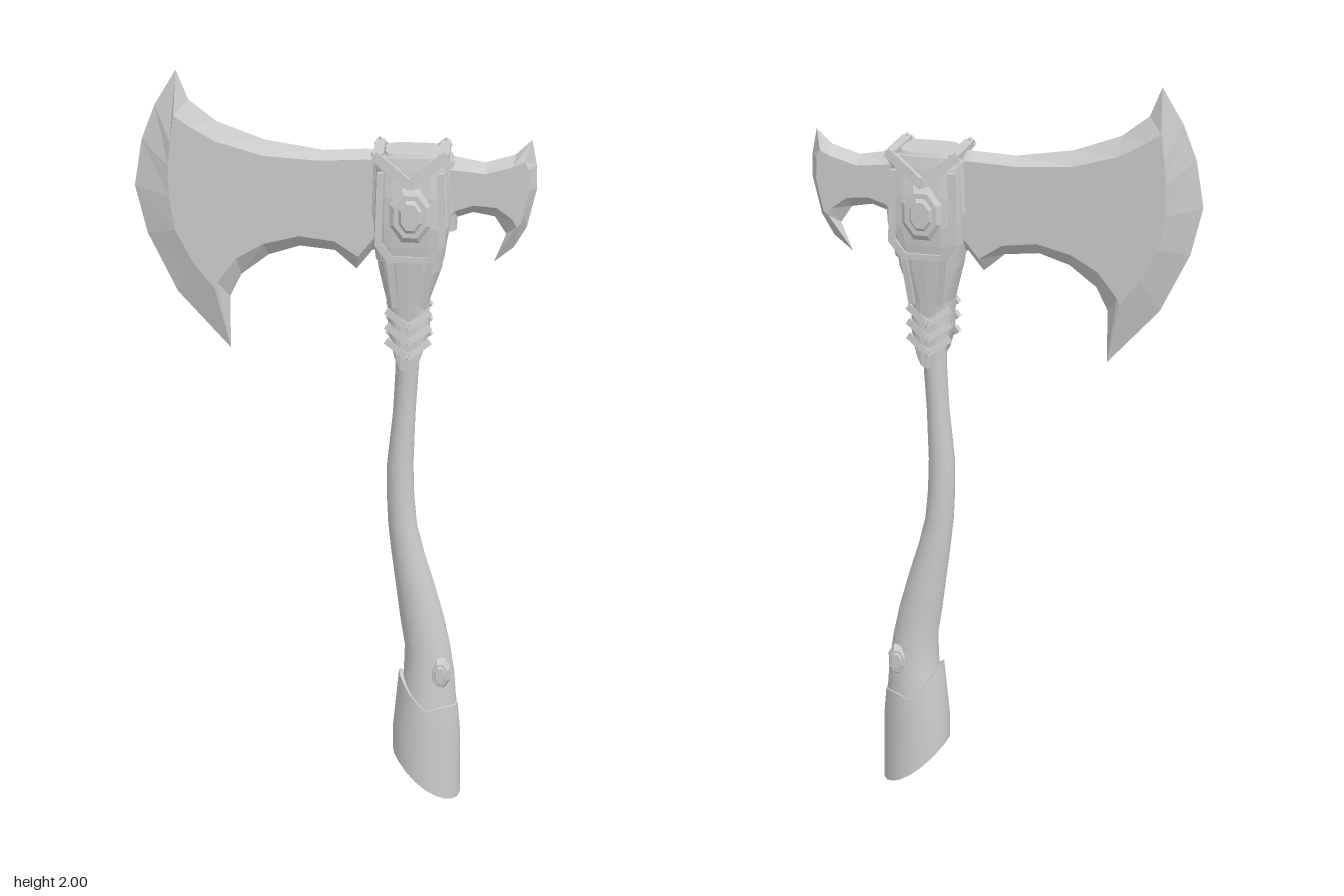
import * as THREE from 'three';

const V = (x, y, z) => new THREE.Vector3(x, y, z);
const smooth = new THREE.MeshStandardMaterial({ color: 0xcccccc });
const flat = new THREE.MeshStandardMaterial({ color: 0xcccccc, flatShading: true });

function add(group, name, geometry, material = flat) {
  const mesh = new THREE.Mesh(geometry, material);
  mesh.name = name;
  group.add(mesh);
  return mesh;
}

function build(pos, idx) {
  const g = new THREE.BufferGeometry();
  g.setAttribute('position', new THREE.Float32BufferAttribute(pos, 3));
  g.setIndex(idx);
  g.computeVertexNormals();
  return g;
}

// Skin of rings [y or y(angle), xMin, xMax, halfDepth], listed bottom to top, with both ends capped.
// power 1 gives ellipses, smaller values give rounded rectangles.
function loft(rings, n, power = 1) {
  const pos = [], idx = [];
  const pw = v => Math.sign(v) * Math.abs(v) ** power;
  const ring = ([y, x0, x1, hz]) => {
    for (let i = 0; i < n; i++) {
      const a = (i / n) * Math.PI * 2;
      pos.push((x0 + x1) / 2 + (x1 - x0) / 2 * pw(Math.cos(a)),
        typeof y === 'function' ? y(a) : y, hz * pw(Math.sin(a)));
    }
  };
  rings.forEach(ring);
  for (let r = 0; r < rings.length - 1; r++) {
    for (let i = 0; i < n; i++) {
      const a = r * n + i, b = r * n + (i + 1) % n;
      idx.push(a, a + n, b, b, a + n, b + n);
    }
  }
  // separate cap vertices keep the rims sharp
  [rings[0], rings[rings.length - 1]].forEach((r, top) => {
    const s = pos.length / 3;
    ring(r);
    const c = V(0, 0, 0);
    for (let i = s; i < s + n; i++) c.add(V(pos[i * 3], pos[i * 3 + 1], pos[i * 3 + 2]));
    c.divideScalar(n);
    pos.push(c.x, c.y, c.z);
    for (let i = 0; i < n; i++) {
      const a = s + i, b = s + (i + 1) % n;
      idx.push(...(top ? [s + n, b, a] : [s + n, a, b]));
    }
  });
  return build(pos, idx);
}

// Plate with a sharp rim at z = 0; points are [rimX, rimY, faceX, faceY], counter-clockwise.
function bevelPlate(points, half) {
  const n = points.length, pos = [], idx = [];
  points.forEach(p => pos.push(p[0], p[1], 0));
  [half, -half].forEach(z => points.forEach(p => pos.push(p[2], p[3], z)));
  for (let i = 0; i < n; i++) {
    const j = (i + 1) % n;
    idx.push(i, j, n + j, i, n + j, n + i);
    idx.push(i, 2 * n + j, j, i, 2 * n + i, 2 * n + j);
  }
  const face = points.map(p => new THREE.Vector2(p[2], p[3]));
  THREE.ShapeUtils.triangulateShape(face, []).forEach(([a, b, c]) =>
    idx.push(n + a, n + b, n + c, 2 * n + a, 2 * n + c, 2 * n + b));
  return build(pos, idx);
}

// Flat strip from a to b whose broad side looks along out
function strip(group, name, a, b, width, thick, out) {
  const y = b.clone().sub(a), len = y.length();
  y.normalize();
  const x = y.clone().cross(out).normalize();
  const m = new THREE.Matrix4().makeBasis(x, y, x.clone().cross(y));
  m.setPosition(a.clone().add(b).multiplyScalar(0.5));
  add(group, name, new THREE.BoxGeometry(width, len + width * 0.4, thick).applyMatrix4(m));
}

// Faceted oval stud facing along sign * z
function stud(group, name, x, y, z, hx, hy, depth, sign) {
  const g = new THREE.CylinderGeometry(0.7, 1, 1, 8).rotateY(Math.PI / 8);
  g.rotateX(Math.PI / 2).scale(hx, hy, depth);
  if (sign < 0) g.rotateY(Math.PI);
  add(group, name, g).position.set(x, y, z * sign);
}

export function createModel() {
  const axe = new THREE.Group();
  axe.name = 'axe';

  // Curved handle with a slanted foot
  const foot = a => 0.065 - 0.065 * Math.cos(a) - 0.02 * Math.sin(a) ** 2;
  add(axe, 'handle', loft([
    [foot, 0.16, 0.34, 0.082], [0.2, 0.162, 0.335, 0.08], [0.28, 0.172, 0.328, 0.074],
    [0.36, 0.186, 0.322, 0.064], [0.44, 0.188, 0.31, 0.056], [0.52, 0.175, 0.293, 0.051],
    [0.62, 0.162, 0.265, 0.046], [0.71, 0.15, 0.237, 0.041], [0.79, 0.141, 0.217, 0.038],
    [0.87, 0.137, 0.209, 0.036], [0.96, 0.137, 0.206, 0.034], [1.1, 0.151, 0.21, 0.032],
    [1.22, 0.157, 0.217, 0.035], [1.35, 0.157, 0.225, 0.042],
  ], 20), smooth);

  // Foot sleeve, its upper edge dipping to a point at front and back
  const dip = a => 0.275 + 0.045 * (1 - Math.cos(a)) * Math.abs(Math.cos(a));
  add(axe, 'footSleeve', loft([
    [a => foot(a) + 0.003, 0.158, 0.342, 0.084], [0.2, 0.158, 0.339, 0.083],
    [dip, 0.173, 0.332, 0.076],
  ], 20), smooth);

  // Bearded main blade
  add(axe, 'mainBlade', bevelPlate([
    [-0.4, 2, -0.405, 1.89], [-0.455, 1.91, -0.415, 1.82], [-0.49, 1.82, -0.42, 1.76],
    [-0.51, 1.7, -0.42, 1.68], [-0.48, 1.575, -0.405, 1.59], [-0.405, 1.42, -0.36, 1.505],
    [-0.27, 1.27, -0.307, 1.44], [-0.27, 1.41, -0.3, 1.455], [-0.24, 1.47, -0.25, 1.52],
    [-0.17, 1.523, -0.18, 1.56], [-0.09, 1.548, -0.09, 1.582], [0, 1.538, 0, 1.57],
    [0.055, 1.49, 0.06, 1.53], [0.095, 1.54, 0.1, 1.58], [0.2, 1.56, 0.2, 1.6],
    [0.2, 1.8, 0.2, 1.78], [0.08, 1.805, 0.08, 1.785], [-0.03, 1.8, -0.04, 1.78],
    [-0.18, 1.825, -0.18, 1.79], [-0.3, 1.87, -0.3, 1.825], [-0.37, 1.925, -0.37, 1.865],
  ], 0.032));

  // Small rear blade
  add(axe, 'rearBlade', bevelPlate([
    [0.2, 1.6, 0.2, 1.63], [0.29, 1.595, 0.285, 1.63], [0.305, 1.63, 0.305, 1.655],
    [0.35, 1.645, 0.35, 1.67], [0.405, 1.635, 0.41, 1.665], [0.435, 1.59, 0.45, 1.635],
    [0.405, 1.515, 0.46, 1.615], [0.455, 1.555, 0.472, 1.625], [0.487, 1.61, 0.478, 1.65],
    [0.51, 1.71, 0.49, 1.71], [0.508, 1.77, 0.488, 1.765], [0.495, 1.835, 0.478, 1.785],
    [0.455, 1.797, 0.45, 1.772], [0.38, 1.775, 0.38, 1.752], [0.29, 1.792, 0.29, 1.762],
    [0.2, 1.79, 0.2, 1.76],
  ], 0.03));

  // Head block holding both blades, and the raised top plate
  add(axe, 'headBlock', loft([
    [1.53, 0.105, 0.28, 0.077], [1.57, 0.1, 0.286, 0.083], [1.62, 0.1, 0.295, 0.087],
    [1.7, 0.102, 0.292, 0.086], [1.77, 0.105, 0.285, 0.078], [1.8, 0.112, 0.28, 0.072],
  ], 24, 0.5));
  add(axe, 'topPlate', loft([
    [1.79, 0.12, 0.272, 0.068], [1.808, 0.128, 0.264, 0.06],
  ], 24, 0.5));
  // Cheeks blending the block into the blades
  add(axe, 'bladeCollar', loft([
    [1.6, 0.08, 0.31, 0.042], [1.65, 0.075, 0.312, 0.048], [1.78, 0.08, 0.305, 0.048],
    [1.8, 0.09, 0.295, 0.042],
  ], 16, 0.75));

  // Tapered socket with tongues at front and back
  const tongue = a => 1.31 - 0.08 * Math.abs(Math.sin(a)) ** 3;
  add(axe, 'socket', loft([
    [tongue, 0.142, 0.238, 0.06], [1.33, 0.137, 0.245, 0.06], [1.37, 0.136, 0.244, 0.058],
    [1.41, 0.134, 0.242, 0.062], [1.5, 0.112, 0.274, 0.073], [1.55, 0.105, 0.28, 0.079],
  ], 24, 0.7));

  for (const s of [1, -1]) {
    const p = (x, y, z) => V(x, y, z * s);
    const out = V(0, 0, s);

    // Studded ornament in the middle of the head
    stud(axe, 'ornamentFrame', 0.195, 1.655, 0.086, 0.064, 0.084, 0.016, s);
    stud(axe, 'ornamentGem', 0.195, 1.655, 0.095, 0.036, 0.052, 0.014, s);

    // Ornament near the foot
    stud(axe, 'handleStud', 0.285, 0.38, 0.056, 0.03, 0.048, 0.018, s);
    stud(axe, 'handleStudGem', 0.285, 0.38, 0.064, 0.019, 0.034, 0.012, s);

    for (const m of [1, -1]) {
      const x = d => 0.194 + d * m;
      // Crossing straps, side frames, socket ribs and wrapped chevrons
      strip(axe, 'headStrap', p(x(0), 1.735, 0.088), p(x(0.088), 1.805, 0.074), 0.024, 0.016, out);
      strip(axe, 'headFrame', p(x(0.08), 1.58, 0.08), p(x(0.075), 1.76, 0.076), 0.018, 0.016, out);
      strip(axe, 'headFrameCorner', p(x(0.08), 1.58, 0.08), p(x(0.05), 1.54, 0.078), 0.018, 0.016, out);
      strip(axe, 'socketRib', p(x(0.052), 1.54, 0.077), p(x(0.036), 1.41, 0.06), 0.016, 0.014, out);
      for (const y of [1.39, 1.35, 1.31]) {
        strip(axe, 'socketWrap', p(x(0.052) - 0.004, y, 0.042), p(x(0) - 0.004, y - 0.035, 0.061), 0.018, 0.014, out);
      }
    }
    strip(axe, 'headFrameFoot', p(0.144, 1.54, 0.078), p(0.244, 1.54, 0.078), 0.016, 0.014, out);
  }

  // Straps passing over the top of the head
  for (const x of [0.112, 0.277]) {
    strip(axe, 'topStrap', V(x, 1.803, -0.072), V(x, 1.803, 0.072), 0.026, 0.018, V(0, 1, 0));
  }
  return axe;
}
